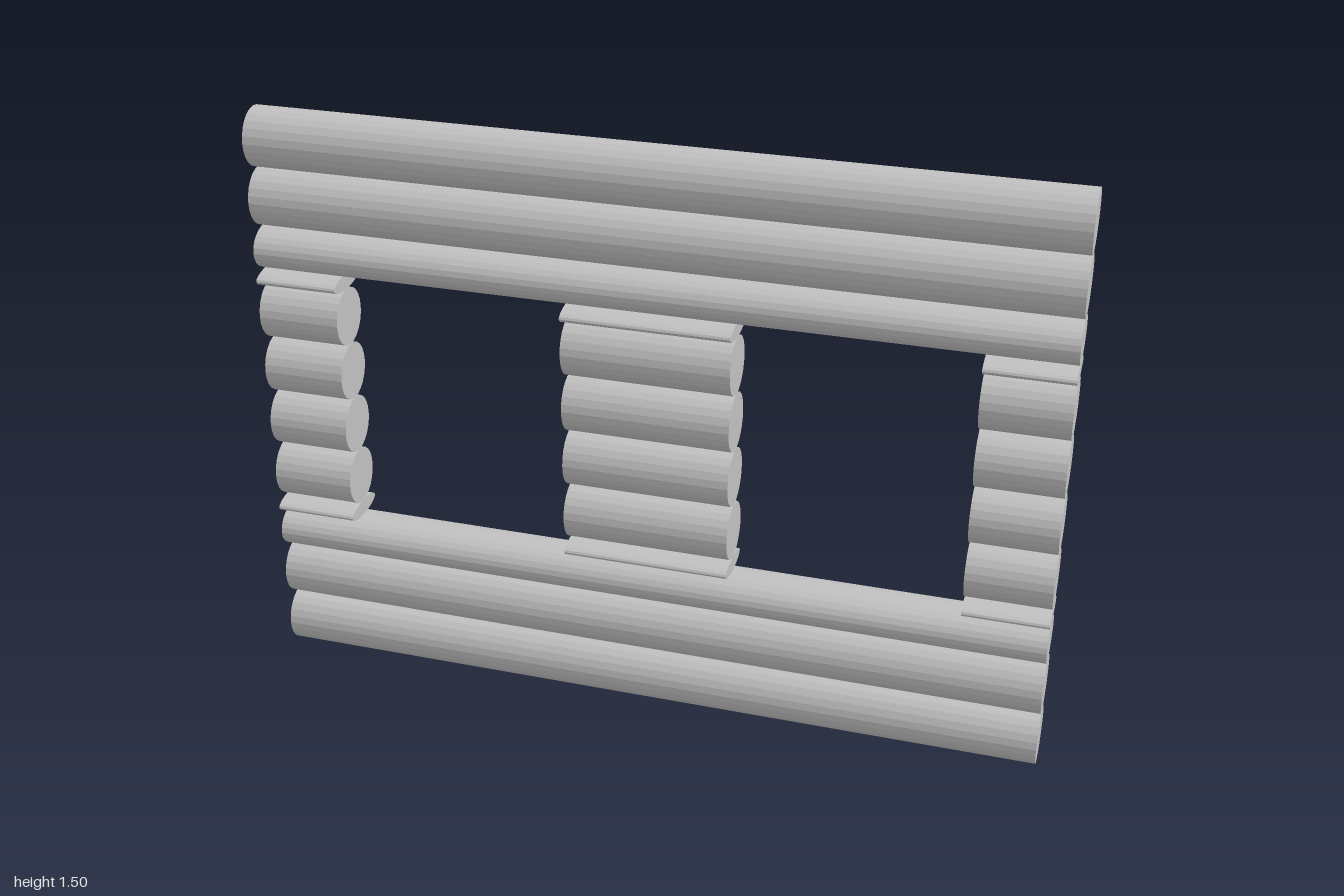
import * as THREE from 'three';

export function createModel() {
  const group = new THREE.Group();
  group.name = 'logWall';
  const wood = new THREE.MeshStandardMaterial({ color: 0xc0c0c0, flatShading: true });
  wood.name = 'plain grey';

  const depth = 0.14;

  // One horizontal log with an elliptical section, filling y0..y1 and x0..x1
  function addLog(name, x0, x1, y0, y1) {
    const geo = new THREE.CylinderGeometry(0.5, 0.5, 1, 24);
    geo.rotateZ(Math.PI / 2);
    geo.scale(x1 - x0, y1 - y0, depth);
    geo.translate((x0 + x1) / 2, (y0 + y1) / 2, 0);
    const log = new THREE.Mesh(geo, wood);
    log.name = name;
    group.add(log);
  }

  // Full-length logs below and above the window openings
  const lower = [0, 0.15, 0.3, 0.41];
  const upper = [1.09, 1.2, 1.35, 1.5];
  for (let i = 0; i < 3; i++) {
    addLog('lowerLog', -1, 1, lower[i], lower[i + 1]);
    addLog('upperLog', -1, 1, upper[i], upper[i + 1]);
  }

  // Short logs between the openings, with thin trimmed logs at sill and lintel
  const courses = [0.41, 0.45, 0.6, 0.75, 0.9, 1.05, 1.09];
  const piers = [['rightPierLog', -1, -0.79], ['middlePierLog', -0.21, 0.21], ['leftPierLog', 0.79, 1]];
  for (const [name, x0, x1] of piers) {
    for (let i = 0; i < courses.length - 1; i++) addLog(name, x0, x1, courses[i], courses[i + 1]);
  }
  return group;
}
